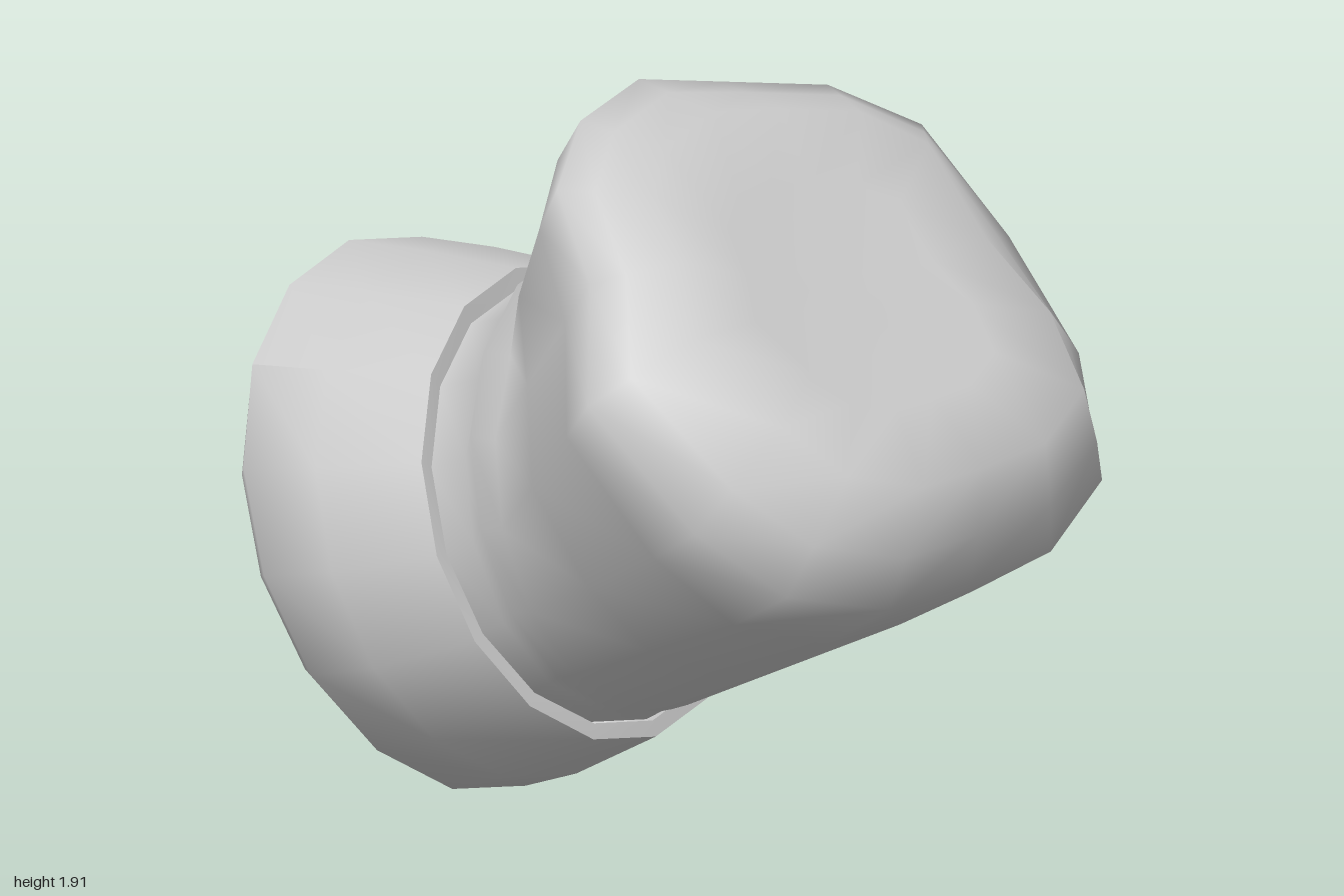
import * as THREE from 'three';
import { toCreasedNormals } from 'three/addons/utils/BufferGeometryUtils.js';

const SIDES = 16;
const V = (x, y, z) => new THREE.Vector3(x, y, z);

// Tilted ellipse through a bottom and a top point (z, y), with half width r
function ring([bz, by, tz, ty, r]) {
  return Array.from({ length: SIDES }, (_, i) => {
    const a = (i / SIDES) * Math.PI * 2;
    const t = (1 - Math.cos(a)) / 2;
    return V(0.03 + r * Math.sin(a), by + (ty - by) * t, bz + (tz - bz) * t);
  });
}

// Skin a list of closed loops, keeping edges sharper than the crease angle
function loft(name, rings, crease) {
  const index = [];
  for (let i = 0; i < rings.length - 1; i++) {
    for (let j = 0; j < SIDES; j++) {
      const a = i * SIDES + j, b = i * SIDES + ((j + 1) % SIDES);
      const c = a + SIDES, d = b + SIDES;
      index.push(a, b, d, a, d, c);
    }
  }
  const geo = new THREE.BufferGeometry().setFromPoints(rings.flat());
  geo.setIndex(index);
  const mat = new THREE.MeshStandardMaterial({ color: 0xcccccc, side: THREE.DoubleSide });
  const mesh = new THREE.Mesh(toCreasedNormals(geo, crease), mat);
  mesh.name = name;
  return mesh;
}

export function createModel() {
  const group = new THREE.Group();
  group.name = 'hollowGlove';

  // Flared cuff: inner sleeve, throat, short funnel, rounded lip, outer wall
  const cuff = [
    [0.02, 0.3, -0.32, 1.34, 0.56],
    [0.0, 0.35, -0.38, 1.21, 0.48],
    [-0.03, 0.33, -0.41, 1.22, 0.5],
    [-0.24, 0.25, -0.63, 1.15, 0.5],
    [-0.27, 0.25, -0.65, 1.12, 0.48],
    [-0.34, 0.19, -0.76, 1.16, 0.54],
    [-0.46, 0.08, -0.95, 1.21, 0.63],
    [-0.48, 0.03, -1.0, 1.26, 0.68],
    [-0.43, 0.0, -0.985, 1.32, 0.71],
    [-0.27, 0.06, -0.75, 1.335, 0.69],
    [-0.02, 0.2, -0.46, 1.34, 0.61],
    [-0.03, 0.24, -0.45, 1.29, 0.57],
  ];
  group.add(loft('cuff', cuff.map(ring), 1.1));

  // Uneven outline of the head, from the bottom round by the left side
  const rim = [
    [0.02, 0.78, 0.98], [0.36, 0.78, 0.97], [0.7, 0.87, 0.87], [0.8, 1.15, 0.72],
    [0.76, 1.43, 0.53], [0.82, 1.65, 0.21], [0.63, 1.77, 0.06], [0.3, 1.84, -0.02],
    [0, 1.91, -0.05], [-0.33, 1.89, 0.02], [-0.53, 1.77, 0.1], [-0.63, 1.58, 0.28],
    [-0.82, 1.33, 0.42], [-0.72, 1.02, 0.68], [-0.59, 0.86, 0.87], [-0.3, 0.78, 0.97],
  ].map((p) => V(...p));

  // Neck with a raised fold
  const neck = [
    [-0.05, 0.24, -0.45, 1.29, 0.57],
    [0.0, 0.27, -0.32, 1.33, 0.56],
    [0.03, 0.28, -0.3, 1.42, 0.57],
    [0.08, 0.3, -0.21, 1.42, 0.57],
  ].map(ring);

  // Body widening from the neck to the rim, bulging at the back and underneath
  const base = neck[3];
  const body = [0.35, 0.75].map((t) => rim.map((p, j) => {
    const q = base[j].clone().lerp(p, t);
    const up = -Math.cos((j / SIDES) * Math.PI * 2);
    q.z -= 0.08 * Math.sin(Math.PI * t) * Math.max(0, up) ** 3;
    q.y -= 0.04 * t * Math.max(0, -up);
    return q;
  }));

  // Soft front pad: shrink the rim and push it towards a sloping plane
  const centre = V(0.02, 1.33, 0.48);
  const pad = [[0.9, 2.08, 0.42], [0.75, 2.08, 1], [0.45, 2.08, 1], [0, 2.04, 1]];
  const front = pad.map(([s, level, amount]) => rim.map((p) => {
    const q = centre.clone().lerp(p, s);
    const target = level + 0.08 * (q.z - 0.5);
    const push = ((target - q.y - q.z) / 2) * amount;
    return q.add(V(0, push, push));
  }));

  group.add(loft('fist', [...neck, ...body, rim, ...front], 1.6));
  return group;
}
